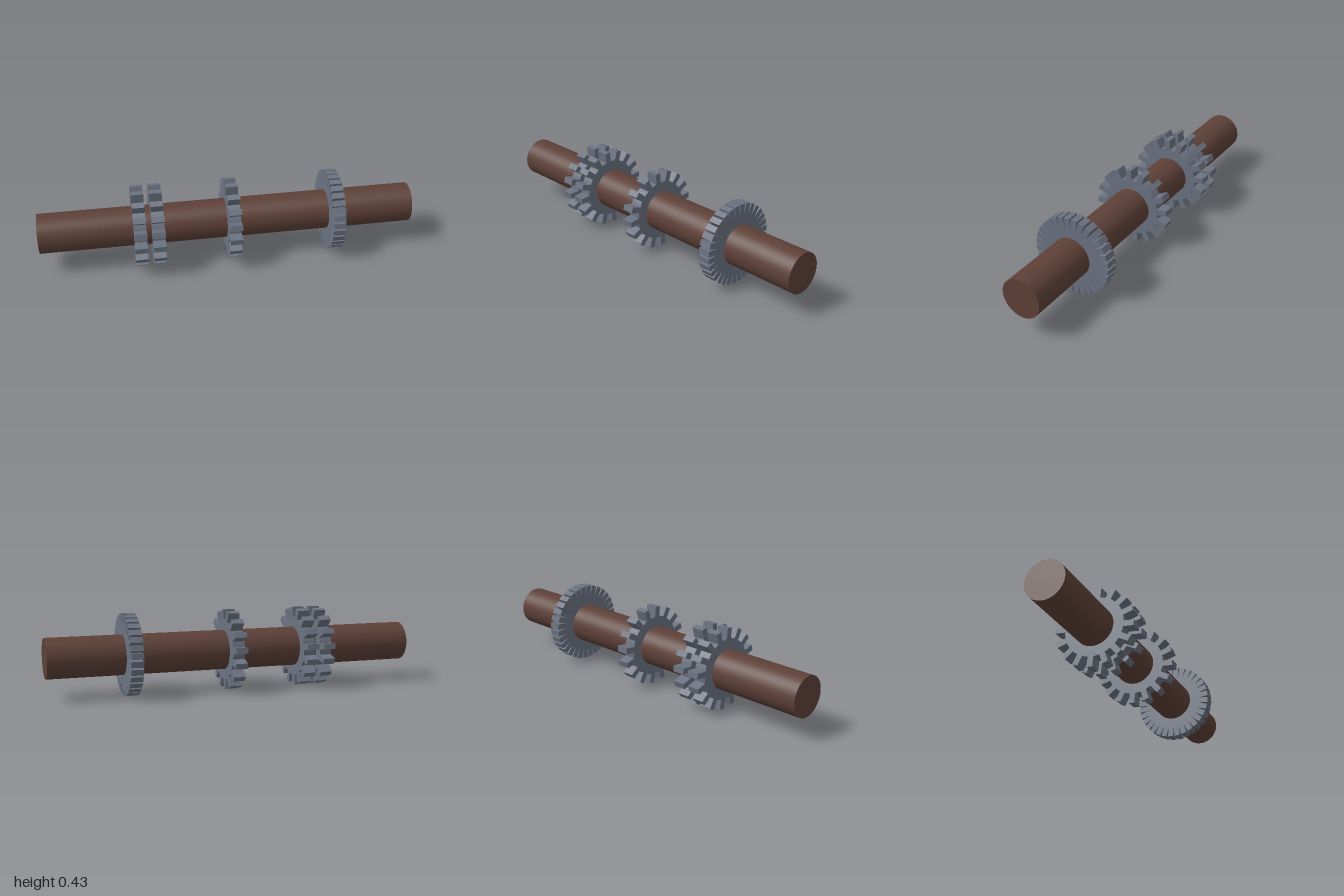
import * as THREE from 'three';

const AXIS_Y = 0.215, OUTER = 0.2145, ROOT = 0.16, HALF_TOOTH = 0.0156, THICK = 0.065;
const STEP = Math.PI / 16;

// Toothed disc outline: straight-sided teeth on every `stride`-th of 32 slots
function gearGeometry(stride) {
  const pts = [];
  const polar = (r, a) => pts.push(new THREE.Vector2(r * Math.cos(a), r * Math.sin(a)));
  const rootAngle = Math.asin(HALF_TOOTH / ROOT), tipAngle = Math.asin(HALF_TOOTH / OUTER);
  for (let i = 0; i < 32; i += stride) {
    const a = (i + 0.5) * STEP;
    polar(ROOT, a - rootAngle);
    polar(OUTER, a - tipAngle);
    polar(OUTER, a + tipAngle);
    polar(ROOT, a + rootAngle);
    if (stride > 1) polar(ROOT, a + STEP);
  }
  const geo = new THREE.ExtrudeGeometry(new THREE.Shape(pts), { depth: THICK, bevelEnabled: false });
  return geo.translate(0, 0, -THICK / 2).rotateY(Math.PI / 2);
}

export function createModel() {
  const model = new THREE.Group();
  const wood = new THREE.MeshStandardMaterial({ color: 0x5d4037 });
  const steel = new THREE.MeshStandardMaterial({ color: 0x6b7280, flatShading: true });

  // Long round shaft
  const shaft = new THREE.Mesh(new THREE.CylinderGeometry(0.105, 0.105, 2, 64).rotateZ(-Math.PI / 2), wood);
  shaft.name = 'shaft';
  shaft.position.y = AXIS_Y;
  model.add(shaft);

  // Three coarse gears and one fine gear
  const coarse = gearGeometry(2), fine = gearGeometry(1);
  const gears = [
    ['outerCoarseGear', -0.475, coarse],
    ['innerCoarseGear', -0.38, coarse],
    ['middleCoarseGear', 0.02, coarse],
    ['fineGear', 0.57, fine],
  ];
  for (const [name, x, geo] of gears) {
    const gear = new THREE.Mesh(geo, steel);
    gear.name = name;
    gear.position.set(x, AXIS_Y, 0);
    model.add(gear);
  }
  return model;
}
